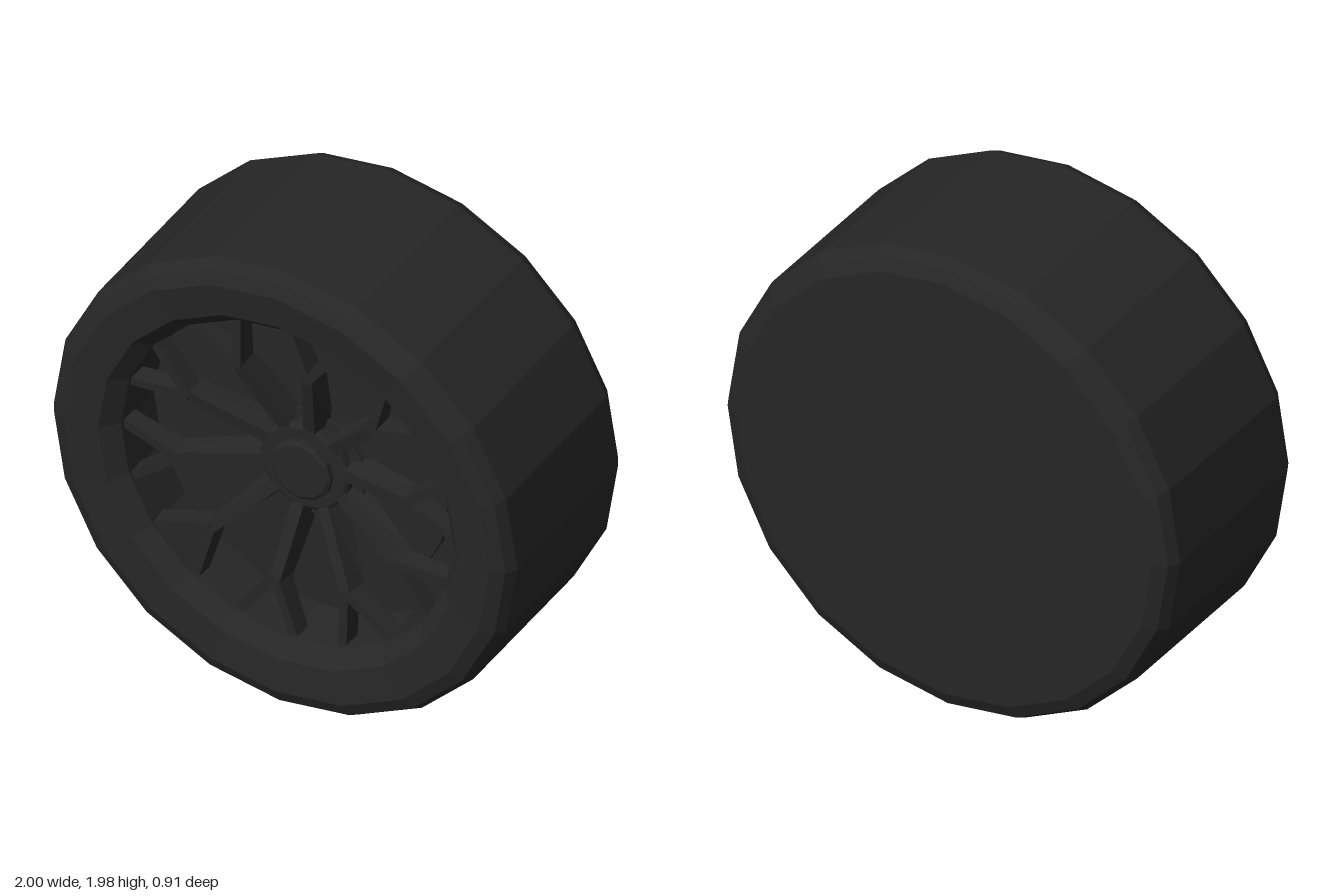
import * as THREE from 'three';

const rubber = new THREE.MeshStandardMaterial({ color: 0x262626, flatShading: true });
rubber.name = 'charcoal';

function add(parent, name, geometry) {
  const mesh = new THREE.Mesh(geometry, rubber);
  mesh.name = name;
  parent.add(mesh);
  return mesh;
}

// Faceted solid of revolution around z; profile holds [radius, z] pairs
function turned(profile, sides) {
  return new THREE.LatheGeometry(profile.map(([r, z]) => new THREE.Vector2(r, z)), sides).rotateX(Math.PI / 2);
}

// Tapered bar from a to b; each end has x, y, z of its front face, front width, back width and depth
function bar(a, b) {
  const geo = new THREE.BoxGeometry(1, 1, 1);
  const p = geo.attributes.position;
  const len = Math.hypot(b.x - a.x, b.y - a.y);
  const nx = -(b.y - a.y) / len, ny = (b.x - a.x) / len;
  for (let i = 0; i < p.count; i++) {
    const end = p.getX(i) < 0 ? a : b;
    const back = p.getZ(i) < 0;
    const side = p.getY(i) * (back ? end.back : end.front);
    p.setXYZ(i, end.x + nx * side, end.y + ny * side, end.z - (back ? end.depth : 0));
  }
  geo.computeVertexNormals();
  return geo;
}

function at(radius, degrees, z, front, back, depth) {
  const t = THREE.MathUtils.degToRad(degrees);
  return { x: radius * Math.cos(t), y: radius * Math.sin(t), z, front, back, depth };
}

export function createModel() {
  const model = new THREE.Group();
  model.name = 'wheel';
  const wheel = new THREE.Group();
  wheel.name = 'wheelBody';
  wheel.position.y = 0.993;
  wheel.rotation.y = -0.027;
  model.add(wheel);

  // Tyre with closed back and rounded shoulders
  add(wheel, 'tyre', turned([
    [0, -0.43], [0.91, -0.43], [0.965, -0.405], [0.99, -0.36],
    [0.99, 0.36], [0.965, 0.405], [0.91, 0.43], [0.77, 0.415],
  ], 20));

  // Rim lip, barrel and back plate
  add(wheel, 'rim', turned([[0.77, 0.415], [0.71, 0.35], [0.70, 0.13], [0, 0.13]], 20));

  // Brake disc and its centre
  add(wheel, 'brakeDisc', turned([[0.575, 0.12], [0.575, 0.165], [0, 0.165]], 20));
  add(wheel, 'discCentre', turned([[0.24, 0.16], [0.24, 0.185], [0, 0.185]], 10));

  // Hub with raised cap
  add(wheel, 'hub', turned([[0.19, 0.13], [0.19, 0.225], [0.175, 0.235], [0, 0.235]], 20));
  add(wheel, 'hubCap', turned([[0.13, 0.23], [0.13, 0.255], [0.115, 0.265], [0, 0.265]], 12));

  // Ten forked spokes
  for (let i = 0; i < 10; i++) {
    const angle = 10 + i * 36;
    const spoke = new THREE.Group();
    spoke.name = 'spoke' + (i + 1);
    wheel.add(spoke);
    add(spoke, 'spokeArm', bar(
      at(0.16, angle, 0.23, 0.05, 0.1, 0.1),
      at(0.51, angle, 0.33, 0.045, 0.06, 0.09)));
    for (const s of [-1, 1]) {
      add(spoke, 'spokeFork', bar(
        at(0.49, angle, 0.329, 0.036, 0.044, 0.085),
        at(0.712, angle + s * 9.5, 0.335, 0.036, 0.044, 0.07)));
    }
  }
  return model;
}
